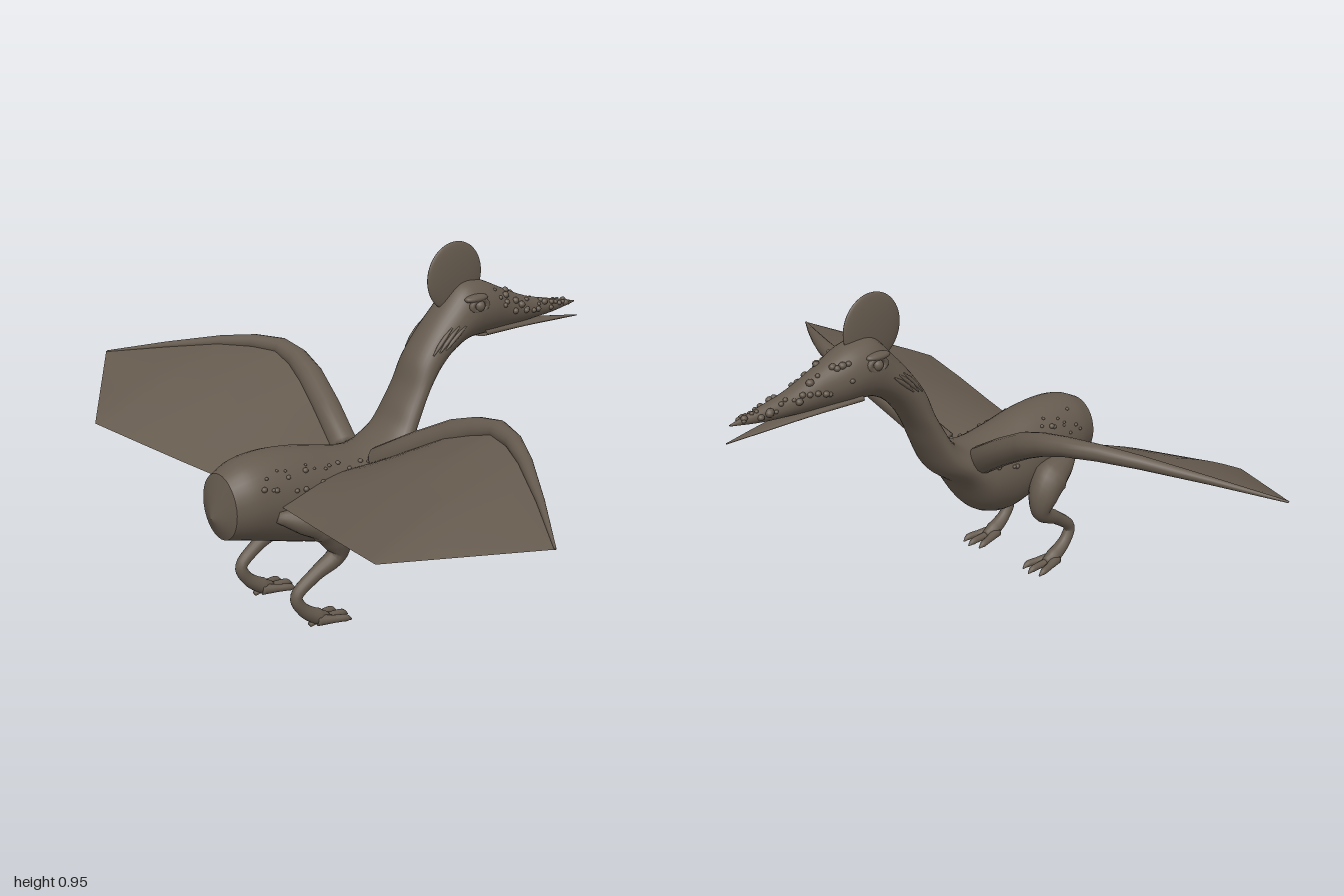
import * as THREE from 'three';

const hide = new THREE.MeshStandardMaterial({ color: 0x655a4e, side: THREE.DoubleSide });
hide.name = 'brownHide';
const V = (x, y, z) => new THREE.Vector3(x, y, z);

function add(parent, geometry, name) {
  const m = new THREE.Mesh(geometry, hide);
  m.name = name;
  parent.add(m);
  return m;
}

// Smooth surface from a grid of points f(i, j); closed grids wrap around j
function grid(rows, cols, f, closed = true) {
  const pos = [], idx = [], w = closed ? cols : cols + 1;
  for (let i = 0; i <= rows; i++) for (let j = 0; j < w; j++) pos.push(...f(i, j).toArray());
  for (let i = 0; i < rows; i++) for (let j = 0; j < cols; j++) {
    const a = i * w + j, b = i * w + (j + 1) % w;
    idx.push(a, b, a + w, b, b + w, a + w);
  }
  const g = new THREE.BufferGeometry();
  g.setAttribute('position', new THREE.Float32BufferAttribute(pos, 3));
  g.setIndex(idx);
  g.computeVertexNormals();
  return g;
}

// Point sampler for a loft; each section is [topX, topY, bottomX, bottomY, halfWidth]
function loftSampler(sections) {
  const top = new THREE.CatmullRomCurve3(sections.map(s => V(s[0], s[1], s[4])));
  const low = new THREE.CatmullRomCurve3(sections.map(s => V(s[2], s[3], 0)));
  return (u, a) => {
    const p = top.getPoint(u), q = low.getPoint(u), c = Math.cos(a) / 2;
    return V((p.x + q.x) / 2 + (p.x - q.x) * c, (p.y + q.y) / 2 + (p.y - q.y) * c, p.z * Math.sin(a));
  };
}
const loft = (sample, rows, cols = 32) =>
  grid(rows, cols, (i, j) => sample(i / rows, j / cols * Math.PI * 2));

// Tapering tube through [x, y, z, radius] points, with closed ends
function limb(points, ref, steps = 5, cols = 14) {
  const P = [], R = [], n = points.length - 1;
  const curve = new THREE.CatmullRomCurve3(points.map(p => V(p[0], p[1], p[2])));
  for (let i = 0; i <= n * steps; i++) {
    const k = Math.min(Math.floor(i / steps), n - 1), f = i / steps - k;
    P.push(curve.getPoint(i / (n * steps)));
    R.push(points[k][3] * (1 - f) + points[k + 1][3] * f);
  }
  P.unshift(P[0].clone()); R.unshift(0);
  P.push(P[P.length - 1].clone()); R.push(0);
  const last = P.length - 1;
  return grid(last, cols, (i, j) => {
    const T = P[Math.min(last, i + 2)].clone().sub(P[Math.max(0, i - 2)]).normalize();
    const N = ref.clone().cross(T).normalize(), B = T.clone().cross(N);
    const a = j / cols * Math.PI * 2;
    return P[i].clone().addScaledVector(N, Math.cos(a) * R[i]).addScaledVector(B, Math.sin(a) * R[i]);
  });
}

const BODY = [
  [-.64, .455, -.64, .27, .08], [-.58, .48, -.58, .255, .1], [-.5, .488, -.5, .232, .108],
  [-.4, .478, -.4, .203, .112], [-.3, .455, -.3, .183, .113], [-.2, .437, -.2, .215, .113],
  [-.125, .445, -.125, .315, .106], [-.08, .478, -.055, .368, .092], [-.05, .525, -.002, .455, .08],
  [-.02, .575, .043, .54, .074], [.007, .643, .095, .605, .071], [.054, .707, .145, .645, .071],
  [.115, .772, .2, .668, .073], [.187, .835, .25, .67, .075], [.26, .832, .29, .67, .07],
  [.35, .793, .36, .672, .052], [.45, .75, .46, .677, .036], [.56, .722, .56, .682, .019],
  [.655, .699, .655, .695, .002],
];
const JAW = [
  [.25, .7, .25, .668, .058], [.42, .684, .42, .664, .038],
  [.55, .669, .55, .656, .02], [.668, .652, .668, .649, .002],
];

export function createModel() {
  const model = new THREE.Group();
  model.name = 'crestedFlyer';
  const body = loftSampler(BODY), span = BODY.length - 1;
  add(model, loft(body, 108), 'bodyNeckAndHead');
  add(model, loft(loftSampler(JAW), 18, 20), 'lowerBeak');

  // Blunt tail end with a short point
  add(model, grid(2, 32, (i, j) => {
    const edge = body(0, j / 32 * Math.PI * 2), k = [0, .45, 1][i];
    return V([-.67, -.657, -.64][i], .335 + (edge.y - .335) * k, edge.z * k);
  }), 'tailEnd');

  // Thin round crest
  const crest = add(model, new THREE.SphereGeometry(.1, 40, 24), 'crest');
  crest.scale.z = .15;
  crest.position.set(.175, .855, 0);

  let seed = 7;
  const rand = () => (seed = seed * 16807 % 2147483647) / 2147483647;
  const wart = new THREE.SphereGeometry(1, 8, 6);

  for (const s of [1, -1]) {
    const side = s > 0 ? 'left' : 'right';
    const at = (u, a) => body(u / span, a * s);

    // Wing: angular arm bone with a membrane stretched back to the trailing edge
    const lead = [[-.165, .4, .08, .042], [-.1, .535, .32, .038], [-.087, .583, .48, .028],
      [-.172, .573, .67, .019], [-.383, .505, .997, .003]].map(p => [p[0], p[1], p[2] * s, p[3]]);
    const trail = [[-.51, .36, .09], [-.56, .382, .31], [-.597, .4, .47], [-.634, .418, .65], [-.385, .505, 1]];
    const wing = new THREE.Group();
    wing.name = side + 'Wing';
    model.add(wing);
    add(wing, limb(lead, V(1, 0, 0), 2), 'wingArm');
    const onLine = (pts, t) => {
      const k = Math.min(Math.floor(t), 3), p = pts[k], q = pts[k + 1], f = t - k;
      return V(...[0, 1, 2].map(c => p[c] + (q[c] - p[c]) * f));
    };
    const back = trail.map(p => [p[0], p[1], p[2] * s]);
    add(wing, grid(16, 10, (i, j) => {
      const f = (s > 0 ? j : 10 - j) / 10, t = i / 4;
      const p = onLine(lead, t).lerp(onLine(back, t), f);
      p.y += .02 * Math.sin(Math.PI * f) * Math.min(1, 4 - t);
      return p;
    }, false), 'wingMembrane');

    // Leg with a heavy thigh, backward ankle and splayed toes
    const leg = new THREE.Group();
    leg.name = side + 'Leg';
    model.add(leg);
    add(leg, limb([[-.525, .335, .1, .016], [-.46, .315, .12, .038], [-.395, .293, .135, .054],
      [-.362, .24, .14, .043], [-.362, .195, .138, .028], [-.43, .155, .134, .02], [-.492, .105, .13, .017],
      [-.475, .065, .13, .018], [-.425, .028, .13, .023], [-.39, .018, .13, .012]]
      .map(p => [p[0], p[1], p[2] * s, p[3]]), V(0, 0, 1)), 'thighAndShin');
    for (const spread of [-.034, 0, .034]) {
      const z = .13 * s, reach = spread ? 0 : .012;
      add(leg, limb([[-.43, .02, z + spread * .3, .016], [-.385, .016, z + spread * .75, .011],
        [-.35 + reach, .012, z + spread, .01], [-.332 + reach, .003, z + spread, .002]], V(0, 0, 1)), 'toe');
    }
    add(leg, limb([[-.42, .022, .13 * s, .016], [-.45, .008, .13 * s, .007]], V(0, 0, 1)), 'heel');

    // Eye with a raised lid
    const eye = add(model, new THREE.SphereGeometry(.017, 16, 12), side + 'Eye');
    eye.position.set(.212, .775, .066 * s);
    const lid = add(model, new THREE.TorusGeometry(.022, .008, 8, 20), side + 'Eyelid');
    lid.position.set(.212, .776, .067 * s);
    lid.scale.set(1.25, .8, 1);
    const brow = add(model, new THREE.SphereGeometry(1, 14, 10), side + 'Brow');
    brow.position.set(.205, .797, .06 * s);
    brow.scale.set(.042, .012, .018);

    // Skin folds on the upper neck
    for (let k = 0; k < 3; k++) {
      const pts = [0, 1, 2, 3].map(n => {
        const p = at(10.4 + k * .2 + n * .42, 1.05 + k * .22);
        return [p.x, p.y, p.z, n % 3 ? .006 : .002];
      });
      add(model, limb(pts, V(0, 0, 1), 4, 8), side + 'NeckFold');
    }

    // Warts scattered over the beak and the back
    const scatter = (count, u0, u1, a0, a1, size, name) => {
      for (let k = 0; k < count; k++) {
        const r = size * (.6 + rand() * .7);
        const m = add(model, wart, name);
        m.position.copy(at(u0 + (u1 - u0) * (k + rand()) / count, a0 + (a1 - a0) * rand()));
        m.scale.set(r * 1.2, r, r);
      }
    };
    scatter(24, 14.2, 17.7, .3, 1.7, .0085, 'beakWart');
    scatter(26, 1.2, 5.5, .65, 1.3, .006, 'backWart');
  }
  return model;
}
